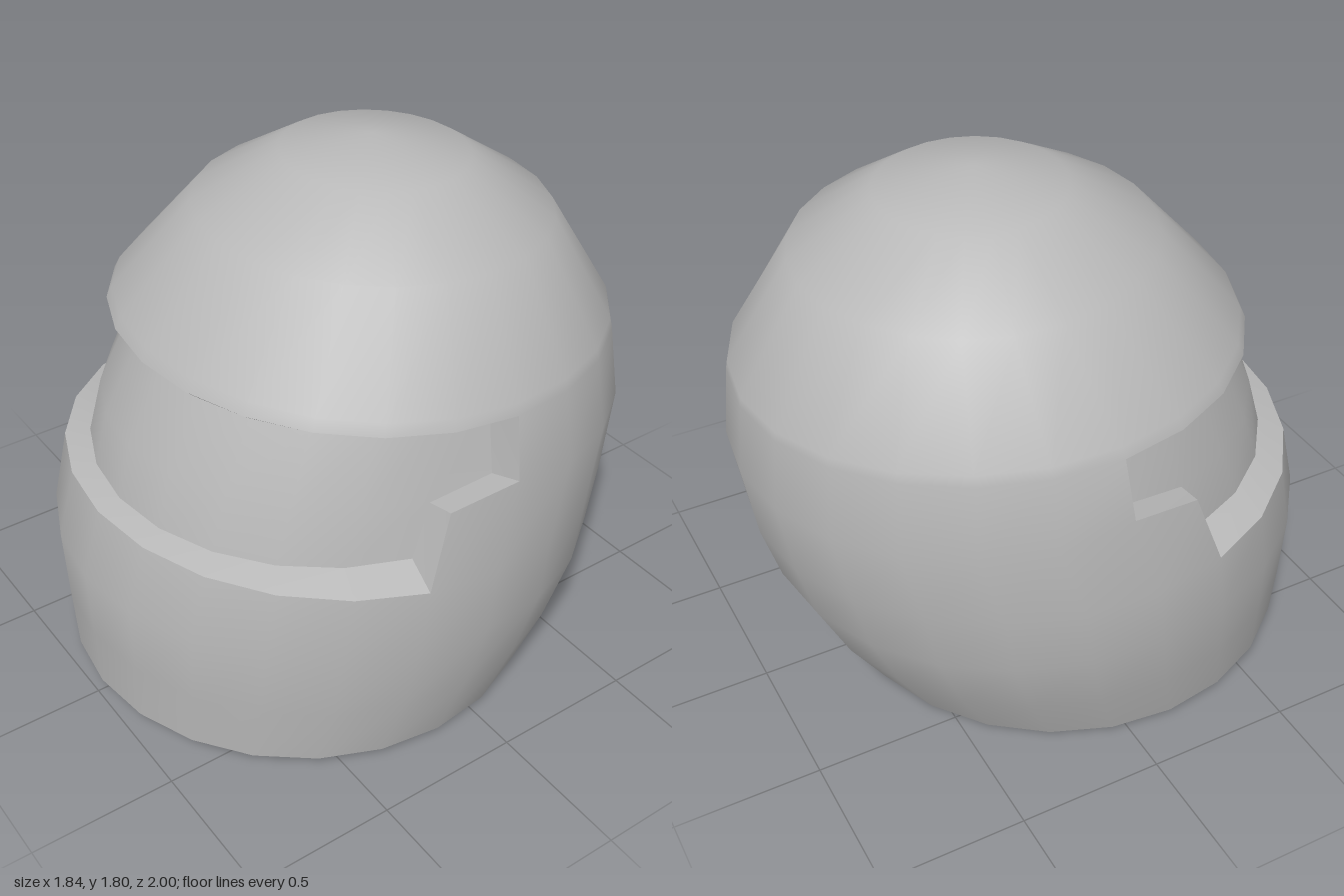
import * as THREE from 'three';
import { toCreasedNormals } from 'three/addons/utils/BufferGeometryUtils.js';

const SEG = 24, HALF = SEG / 2;

// Tilted elliptical ring: front z/y, back z/y, half width, forward shift and lift of the sides
function ring([fz, fy, bz, by, w, shift = 0, lift = 0]) {
  return (j) => {
    const a = (j / SEG) * Math.PI * 2, c = Math.cos(a), s = Math.sin(a);
    return new THREE.Vector3(
      w * s,
      (fy + by) / 2 + ((fy - by) / 2) * c + (Math.abs(j) === SEG / 4 ? lift : 0),
      (fz + bz) / 2 + ((fz - bz) / 2) * c + shift * s * s
    );
  };
}

const shellRings = [
  [0.98, 0.04, -0.66, 0.0, 0.83],
  [0.99, 0.26, -0.79, 0.2, 0.88],
  [1.0, 0.52, -0.9, 0.43, 0.92],
  [0.93, 0.76, -0.96, 0.64, 0.92, 0.04],
  [0.87, 1.0, -1.0, 0.91, 0.89, 0, 0.045],
  [0.73, 1.26, -0.975, 1.16, 0.845, 0.04],
  [0.71, 1.3, -0.97, 1.19, 0.83, 0.04],
  [0.44, 1.59, -0.75, 1.54, 0.6],
  [0.15, 1.75, -0.47, 1.73, 0.32],
  [-0.15, 1.8, -0.15, 1.8, 0],
].map(ring);

// Sunken rings behind the eye opening, matching shell rings 3 to 5
const visorRings = [
  [0.85, 0.78, -0.87, 0.74, 0.8, 0.04],
  [0.8, 0.97, -0.92, 0.91, 0.79, 0.02, 0.04],
  [0.67, 1.2, -0.83, 1.15, 0.74, 0.02],
].map(ring);

// The opening reaches 5 columns to each side below and 6 above
const reach = { 3: 5, 4: 6 };
const inOpening = (row, j) => row in reach && j >= -reach[row] && j < reach[row];

function pushTri(out, a, b, c) {
  const area = b.clone().sub(a).cross(c.clone().sub(a)).length();
  if (area > 1e-7) for (const p of [a, b, c]) out.push(p.x, p.y, p.z);
}

function pushQuad(out, a, b, c, d) {
  pushTri(out, a, b, c);
  pushTri(out, a, c, d);
}

function part(name, positions, material, crease) {
  const g = new THREE.BufferGeometry();
  g.setAttribute('position', new THREE.Float32BufferAttribute(positions, 3));
  const mesh = new THREE.Mesh(toCreasedNormals(g, crease), material);
  mesh.name = name;
  return mesh;
}

export function createModel() {
  const group = new THREE.Group();
  group.name = 'helmet';
  const grey = new THREE.MeshStandardMaterial({ color: 0xb8b8b8 });
  grey.name = 'grey';

  // Outer shell with the eye opening left out, and the sunken visor behind it
  const shell = [], visor = [];
  for (let row = 0; row < shellRings.length - 1; row++) {
    for (let j = -HALF; j < HALF; j++) {
      const open = inOpening(row, j);
      const lo = open ? visorRings[row - 3] : shellRings[row];
      const hi = open ? visorRings[row - 2] : shellRings[row + 1];
      pushQuad(open ? visor : shell, lo(j), lo(j + 1), hi(j + 1), hi(j));
    }
  }

  // Flat closed underside
  const base = [];
  const bottom = shellRings[0];
  const centre = new THREE.Vector3(0, 0.02, 0.16);
  for (let j = -HALF; j < HALF; j++) pushTri(base, centre, bottom(j + 1), bottom(j));

  // Stepped outline of the opening as [row, column], counter-clockwise
  const outline = [];
  for (let j = -5; j <= 5; j++) outline.push([3, j]);
  outline.push([4, 5], [4, 6]);
  for (let j = 6; j >= -6; j--) outline.push([5, j]);
  outline.push([4, -6], [4, -5]);

  // Rim joining the shell to the visor
  const rim = [];
  outline.forEach(([r, j], i) => {
    const [r2, j2] = outline[(i + 1) % outline.length];
    pushQuad(rim, shellRings[r](j), shellRings[r2](j2), visorRings[r2 - 3](j2), visorRings[r - 3](j));
  });

  group.add(
    part('shell', shell, grey, 0.9),
    part('visor', visor, grey, 0.9),
    part('visorRim', rim, grey, 0.5),
    part('base', base, grey, 0.5)
  );
  return group;
}
